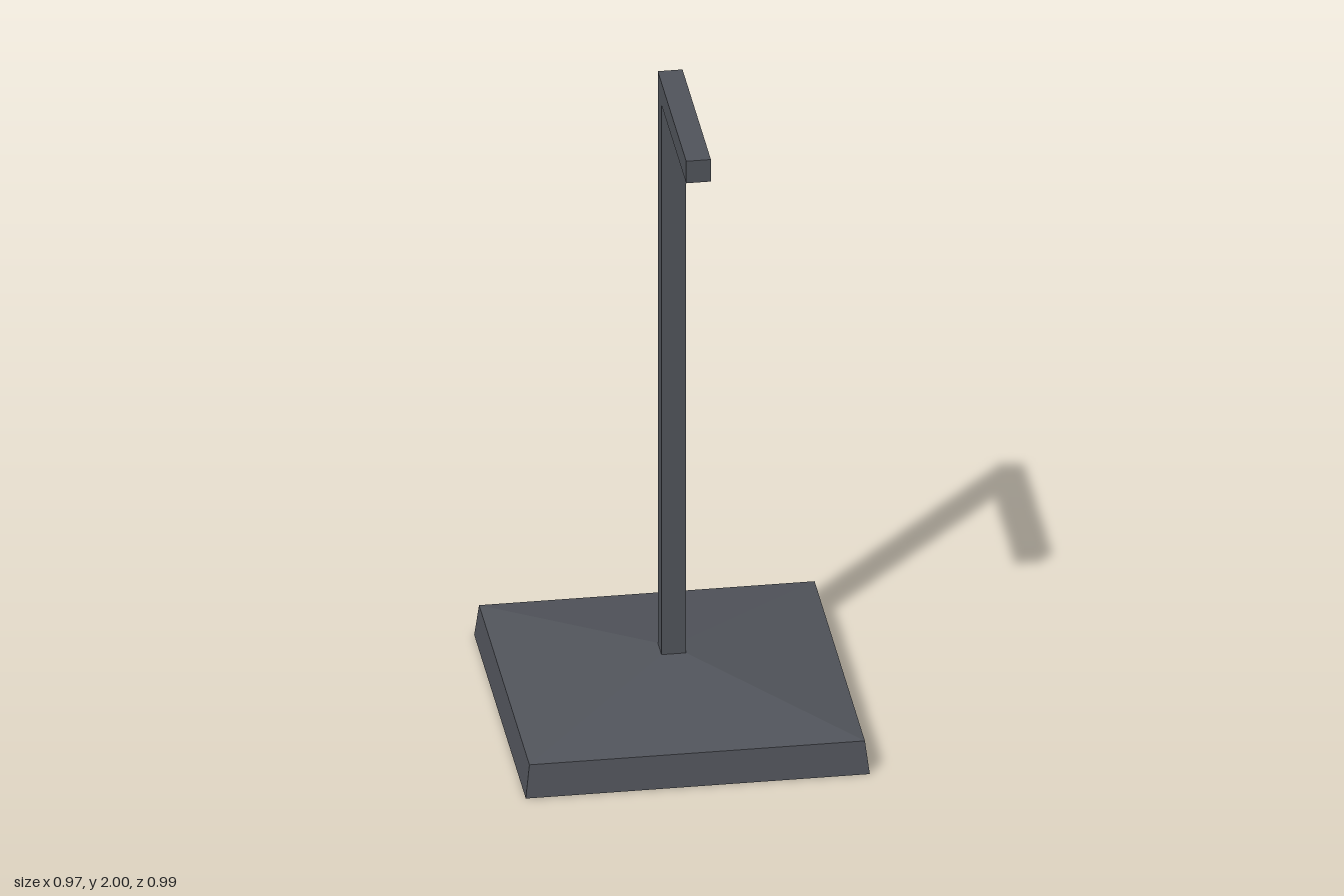
import * as THREE from 'three';

const CENTRE_Z = -0.007; // base and post sit slightly back, so the arm balances the bounds
const HALF_POST = 0.035;

export function createModel() {
  const model = new THREE.Group();
  model.name = 'hookStand';

  const darkMetal = new THREE.MeshStandardMaterial({ color: 0x50535a });
  darkMetal.name = 'darkMetal';

  const add = (name, geometry) => {
    const flat = geometry.index ? geometry.toNonIndexed() : geometry;
    flat.computeVertexNormals();
    const mesh = new THREE.Mesh(flat, darkMetal);
    mesh.name = name;
    model.add(mesh);
    return mesh;
  };

  // Square base: tapered rim with a shallow pyramid rising to the post
  const profile = [[0, 0], [0.487, 0], [0.475, 0.1], [HALF_POST, 0.18], [0, 0.18]]
    .map(([half, y]) => new THREE.Vector2(half * Math.SQRT2, y));
  const base = add('base', new THREE.LatheGeometry(profile, 4, Math.PI / 4));
  base.position.z = CENTRE_Z;

  // Post and forward arm: one L-shaped bar, drawn in side profile
  const back = CENTRE_Z - HALF_POST;
  const front = CENTRE_Z + HALF_POST;
  const outline = new THREE.Shape([
    [back, 0.18], [front, 0.18], [front, 1.93], [0.494, 1.93], [0.494, 2], [back, 2],
  ].map(([z, y]) => new THREE.Vector2(z, y)));
  const bar = new THREE.ExtrudeGeometry(outline, { depth: HALF_POST * 2, bevelEnabled: false });
  bar.translate(0, 0, -HALF_POST).rotateY(-Math.PI / 2);
  add('postAndArm', bar);

  return model;
}
